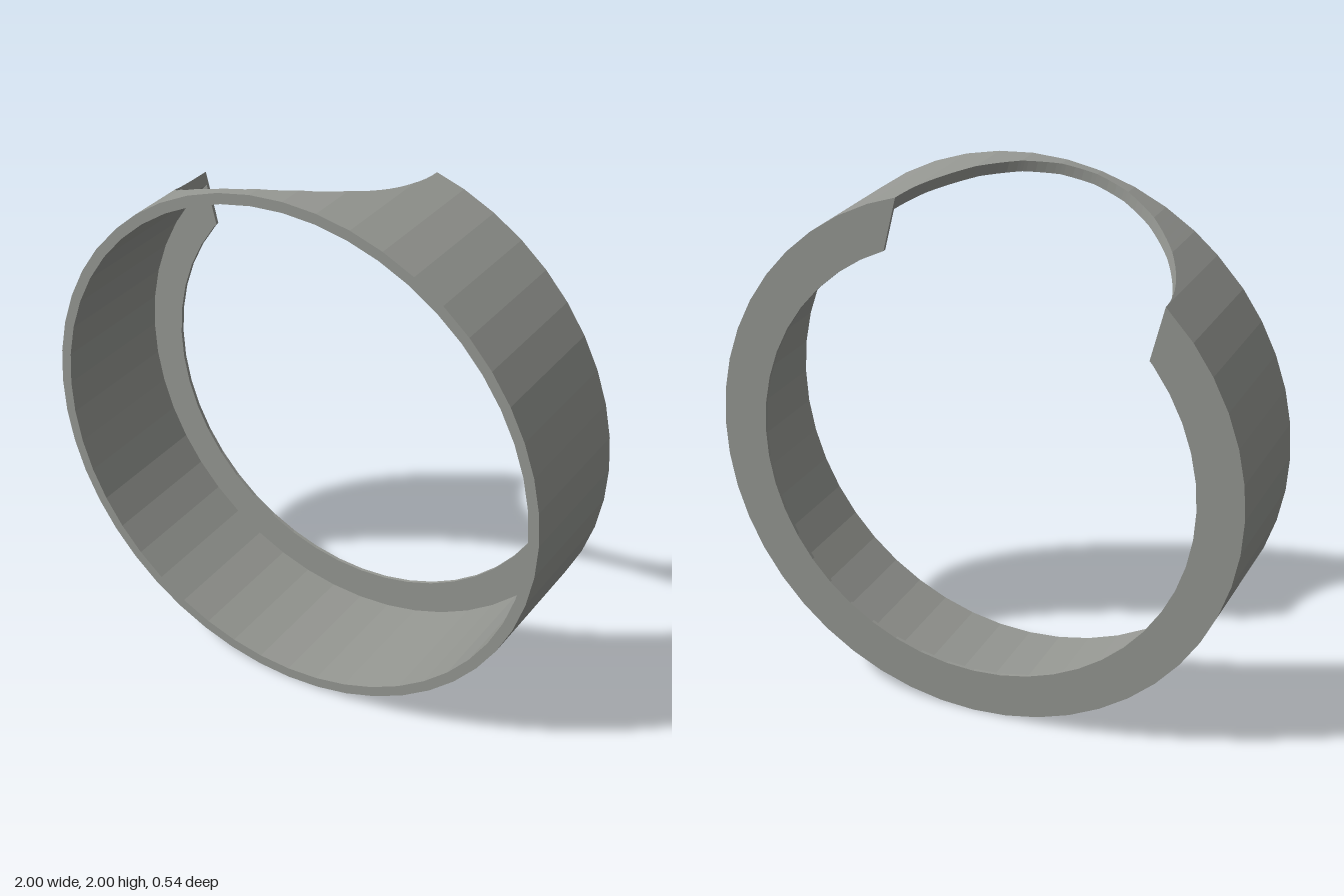
import * as THREE from 'three';

const OUTER = 1, INNER = 0.96, LIP = 0.83;   // radii of band and back lip
const FRONT = 0.27, BACK = -0.27, LIP_DEPTH = 0.013;
const CUT = 0.5;                             // radius of the round notch
const SIDES = 48, TILT = THREE.MathUtils.degToRad(14);
const STEP = (Math.PI * 2) / SIDES;

// Point on the 48-sided rim, angle measured clockwise from the notch axis
function rimRadius(R, angle) {
  const t = (((angle - TILT) % STEP) + STEP) % STEP;
  return (R * Math.cos(STEP / 2)) / Math.cos(t - STEP / 2);
}
function rimAt(R, angle) {
  const r = rimRadius(R, angle);
  return [r * Math.sin(angle), r * Math.cos(angle)];
}
// Point on the upper rim at a given sideways offset from the notch axis
function rimAtOffset(R, u) {
  let angle = Math.asin(u / R);
  for (let i = 0; i < 12; i++) angle = Math.asin(u / rimRadius(R, angle));
  return [u, rimRadius(R, angle) * Math.cos(angle)];
}
// Corner angles of the rim lying strictly between two angles
function cornersBetween(from, to) {
  const list = [];
  for (let k = -SIDES; k <= SIDES; k++) {
    const a = TILT + k * STEP;
    if (a > from + 0.01 && a < to - 0.01) list.push(a);
  }
  return list;
}

// Band: cross-sections joined in a loop, the back edge following the notch
function bandGeometry() {
  const offsets = [];
  for (let i = 0; i <= 48; i++) offsets.push(CUT * Math.sin(Math.PI * (i / 48 - 0.5)));
  for (const R of [OUTER, INNER]) {
    const limit = Math.asin(CUT / R);
    for (const a of cornersBetween(-limit, limit)) offsets.push(R * Math.sin(a));
  }
  offsets.sort((a, b) => a - b);

  const sections = offsets.map((u) => ({
    o: rimAtOffset(OUTER, u),
    i: rimAtOffset(INNER, u),
    back: BACK + Math.sqrt(Math.max(0, CUT * CUT - u * u)),
  }));
  const end = Math.asin(CUT / INNER);
  for (const a of cornersBetween(end, Math.PI * 2 - end)) {
    sections.push({ o: rimAt(OUTER, a), i: rimAt(INNER, a), back: BACK });
  }

  const loops = sections.map(({ o, i, back }) => [
    [...o, FRONT], [...o, back], [...i, back], [...i, FRONT],
  ]);
  const positions = [];
  loops.forEach((p, n) => {
    const q = loops[(n + 1) % loops.length];
    for (let k = 0; k < 4; k++) {
      const m = (k + 1) % 4;
      positions.push(...p[k], ...q[k], ...q[m], ...p[k], ...q[m], ...p[m]);
    }
  });
  const geometry = new THREE.BufferGeometry();
  geometry.setAttribute('position', new THREE.Float32BufferAttribute(positions, 3));
  geometry.computeVertexNormals();
  return geometry;
}

// Open arc of the rim, running clockwise from one notch wall to the other
function openArc(R) {
  const end = Math.asin(CUT / R);
  return [
    rimAtOffset(R, CUT),
    ...cornersBetween(end, Math.PI * 2 - end).map((a) => rimAt(R, a)),
    rimAtOffset(R, -CUT),
  ];
}

// Thin inward lip along the back edge, interrupted by the notch
function lipGeometry() {
  const outline = [...openArc(INNER), ...openArc(LIP).reverse()];
  const shape = new THREE.Shape(outline.map(([x, y]) => new THREE.Vector2(x, y)));
  const geometry = new THREE.ExtrudeGeometry(shape, { depth: LIP_DEPTH, bevelEnabled: false });
  return geometry.translate(0, 0, BACK);
}

export function createModel() {
  const grey = new THREE.MeshStandardMaterial({ color: 0x959792, flatShading: true });
  grey.name = 'warm grey';

  const model = new THREE.Group();
  model.name = 'notchedRing';
  const ring = new THREE.Group();
  ring.name = 'ring';
  ring.position.y = 1;
  ring.rotation.z = TILT;

  const band = new THREE.Mesh(bandGeometry(), grey);
  band.name = 'band';
  const lip = new THREE.Mesh(lipGeometry(), grey);
  lip.name = 'backLip';
  ring.add(band, lip);
  model.add(ring);
  return model;
}
